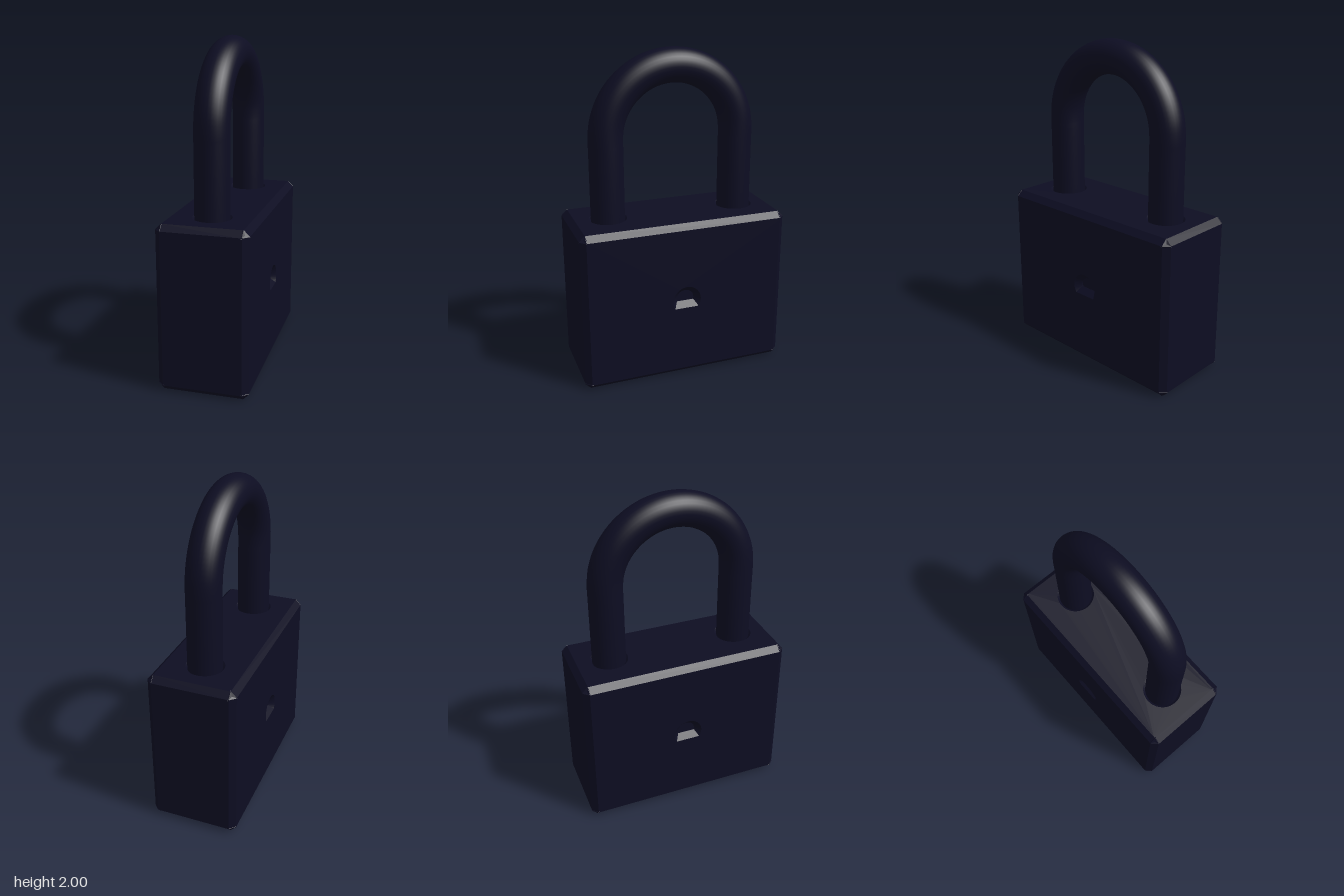
import * as THREE from 'three';

const HX = 0.27, HY = 0.5, HZ = 0.646, C = 0.035; // body half sizes and chamfer
const LEG_Z = 0.411, TUBE_R = 0.103, ARC_Y = 1.486;

// Round hole, used where the shackle enters the body
function roundHole(x, y, r) {
  return new THREE.Path().absarc(x, y, r, 0, Math.PI * 2, true);
}

// Teardrop keyhole: a circle running into a point below
function keyHole(y, r, tipY) {
  const a = Math.asin(r / (y - tipY));
  const p = new THREE.Path();
  p.moveTo(0, tipY);
  p.absarc(0, y, r, Math.PI + a, -a, true);
  p.closePath();
  return p;
}

// Chamfered slab facing +z with its outer face at z = dist; holes narrow inwards
function panel(name, halfW, halfH, dist, material, holes = []) {
  const w = halfW - C, h = halfH - C, k = 0.012;
  const shape = new THREE.Shape([
    [-w + k, -h], [w - k, -h], [w, -h + k], [w, h - k],
    [w - k, h], [-w + k, h], [-w, h - k], [-w, -h + k],
  ].map(([x, y]) => new THREE.Vector2(x, y)));
  shape.holes = holes;
  const geometry = new THREE.ExtrudeGeometry(shape, {
    depth: 0.002, bevelEnabled: true, bevelSegments: 1,
    bevelSize: C, bevelThickness: C, curveSegments: 20,
  });
  geometry.translate(0, 0, dist - C - 0.002);
  const mesh = new THREE.Mesh(geometry, material);
  mesh.name = name;
  return mesh;
}

export function createModel() {
  const model = new THREE.Group();
  model.name = 'padlock';
  const navy = new THREE.MeshStandardMaterial({ color: 0x0d0d22 });
  navy.name = 'dark navy metal';

  // Body: six chamfered panels around a solid core
  const body = new THREE.Group();
  body.name = 'lockBody';
  body.position.y = HY;
  model.add(body);

  const core = new THREE.Mesh(
    new THREE.BoxGeometry(2 * (HX - 0.065), 2 * (HY - 0.065), 2 * (HZ - 0.065)), navy);
  core.name = 'bodyCore';
  body.add(core);

  for (const s of [1, -1]) {
    const side = panel(s > 0 ? 'leftKeyholePanel' : 'rightKeyholePanel',
      HZ, HY, HX, navy, [keyHole(0.005, 0.09, -0.16)]);
    side.rotation.y = s * Math.PI / 2;

    const end = panel(s > 0 ? 'frontPanel' : 'backPanel', HX, HY, HZ, navy);
    end.rotation.y = s > 0 ? 0 : Math.PI;

    const sockets = s > 0 ? [-1, 1].map((t) => roundHole(0, t * LEG_Z, 0.116)) : [];
    const cap = panel(s > 0 ? 'topPanel' : 'bottomPanel', HX, HZ, HY, navy, sockets);
    cap.rotation.x = -s * Math.PI / 2;
    body.add(side, end, cap);
  }

  // Shackle: two straight legs joined by a half circle
  const points = [];
  for (const y of [0.92, 1.1, 1.3, 1.42]) points.push(new THREE.Vector3(0, y, LEG_Z));
  for (let i = 0; i <= 16; i++) {
    const a = Math.PI * i / 16;
    points.push(new THREE.Vector3(0, ARC_Y + LEG_Z * Math.sin(a), LEG_Z * Math.cos(a)));
  }
  for (const y of [1.42, 1.3, 1.1, 0.92]) points.push(new THREE.Vector3(0, y, -LEG_Z));
  const shackle = new THREE.Mesh(
    new THREE.TubeGeometry(new THREE.CatmullRomCurve3(points), 96, TUBE_R, 32), navy);
  shackle.name = 'shackle';
  model.add(shackle);

  return model;
}
